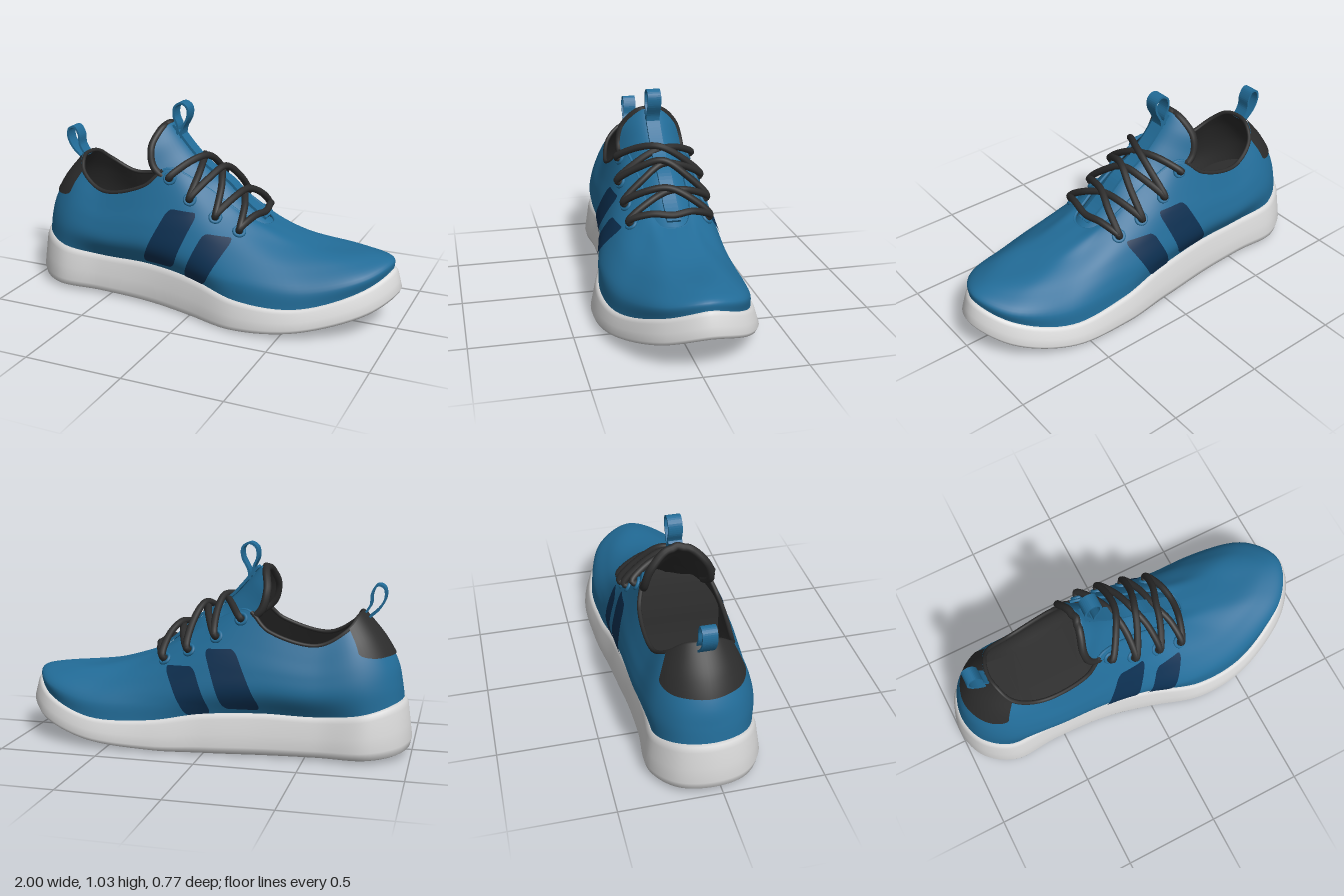
import * as THREE from 'three';
import { mergeVertices } from 'three/addons/utils/BufferGeometryUtils.js';

const V = (x, y, z) => new THREE.Vector3(x, y, z);
const mat = (name, color) => Object.assign(new THREE.MeshStandardMaterial({ color }), { name });
const clamp = THREE.MathUtils.clamp;
const MID = -0.04; // z of the tongue and lacing centre line
const N = 18; // stations around the shoe: 0 heel, 1-8 left side, 9 toe, mirrored back

// sole stations: x, half width, top y, bottom y
const SOLE = [
  [-1, 0, 0.285, 0.03], [-0.95, 0.17, 0.275, 0.02], [-0.8, 0.275, 0.24, 0.012], [-0.56, 0.268, 0.212, 0.008],
  [-0.28, 0.28, 0.215, 0.003], [0, 0.325, 0.2, 0], [0.27, 0.378, 0.155, 0.003], [0.6, 0.358, 0.15, 0.035],
  [0.89, 0.21, 0.235, 0.11], [1, 0, 0.3, 0.17],
];
// upper stations: four levels of x, y, half width, from above the sole to the collar or throat edge
const UPPER = [
  [-0.945, 0.36, 0, -0.925, 0.45, 0, -0.86, 0.57, 0, -0.75, 0.7, 0],
  [-0.905, 0.36, 0.14, -0.88, 0.45, 0.135, -0.82, 0.57, 0.115, -0.735, 0.69, 0.08],
  [-0.78, 0.34, 0.24, -0.76, 0.44, 0.225, -0.73, 0.55, 0.19, -0.69, 0.63, 0.155],
  [-0.55, 0.31, 0.275, -0.55, 0.4, 0.26, -0.55, 0.48, 0.23, -0.55, 0.555, 0.2],
  [-0.28, 0.32, 0.29, -0.28, 0.42, 0.275, -0.29, 0.52, 0.24, -0.31, 0.615, 0.205],
  [-0.02, 0.3, 0.305, -0.04, 0.42, 0.27, -0.09, 0.56, 0.215, -0.19, 0.71, 0.16],
  [0.24, 0.25, 0.325, 0.2, 0.37, 0.265, 0.11, 0.5, 0.19, 0, 0.63, 0.125],
  [0.58, 0.23, 0.305, 0.5, 0.32, 0.235, 0.36, 0.41, 0.15, 0.21, 0.505, 0.105],
  [0.86, 0.29, 0.19, 0.76, 0.345, 0.14, 0.55, 0.383, 0.09, 0.31, 0.455, 0.06],
  [0.955, 0.335, 0, 0.87, 0.36, 0, 0.62, 0.372, 0, 0.33, 0.45, 0],
];

// closed ring through ten stations mirrored in z
const ring = (pts) => new THREE.CatmullRomCurve3(
  [...pts, ...pts.slice(1, 9).reverse().map((p) => V(p.x, p.y, -p.z))], true);
const onRing = (r, s) => r.getPoint((((s / N) % 1) + 1) % 1);
// curved centre line of the foot
const bend = (p) => {
  p.z += -0.042 + 0.042 * Math.exp(-(((p.x - 0.3) / 0.35) ** 2)) * clamp((0.5 - p.y) / 0.25, 0, 1);
  return p;
};
const soleTop = ring(SOLE.map((r) => V(r[0], r[2], r[1])));
const soleBottom = ring(SOLE.map((r) => V(r[0], r[3], r[1])));

// point of the sole wall at station s, height share h, moved inwards by inset
function solePoint(s, h, inset) {
  const p = onRing(soleBottom, s).lerp(onRing(soleTop, s), h);
  const t = onRing(soleTop, s + 0.02).sub(onRing(soleTop, s - 0.02)).setY(0).normalize();
  return p.add(V(t.z * inset, 0, -t.x * inset));
}
const upperRings = [0, 1, 2, 3].map((k) => ring(UPPER.map((r) => V(r[3 * k], r[3 * k + 1], r[3 * k + 2]))));

// point of the upper: s = station, v = 0 at the sole to 1 at the edge
function upperPoint(s, v) {
  const base = solePoint(s, 0.96, 0.042);
  return bend(new THREE.CatmullRomCurve3([base, ...upperRings.map((r) => onRing(r, s))]).getPoint(clamp(v, 0, 1)));
}
function upperNormal(s, v) {
  const du = upperPoint(s + 0.03, v).sub(upperPoint(s - 0.03, v));
  const dv = upperPoint(s, Math.min(1, v + 0.02)).sub(upperPoint(s, Math.max(0, v - 0.02)));
  return du.cross(dv).normalize();
}
const upperOffset = (s, v, d) => upperPoint(s, v).addScaledVector(upperNormal(s, v), d);

// station and level of the upper seen at x, y from the side
function locate(x, y) {
  let s = 5.5, v = 0.5;
  for (let i = 0; i < 14; i++) {
    const p = upperPoint(s, v), a = upperPoint(s + 0.01, v).sub(p), b = upperPoint(s, v - 0.01).sub(p);
    const ex = x - p.x, ey = y - p.y, det = a.x * b.y - b.x * a.y || 1e-9;
    s = clamp(s + clamp((0.01 * (ex * b.y - b.x * ey)) / det, -0.6, 0.6), 3, 8.8);
    v = clamp(v - clamp((0.01 * (a.x * ey - ex * a.y)) / det, -0.15, 0.15), 0.02, 1);
  }
  return [s, v];
}

// smooth surface from a rule f(u, v)
function grid(name, material, nu, nv, f) {
  const pos = [], index = [];
  for (let j = 0; j <= nv; j++) for (let i = 0; i <= nu; i++) pos.push(...f(i / nu, j / nv).toArray());
  for (let j = 0; j < nv; j++) for (let i = 0; i < nu; i++) {
    const a = j * (nu + 1) + i, d = a + nu + 1;
    index.push(a, a + 1, d + 1, a, d + 1, d);
  }
  let g = new THREE.BufferGeometry();
  g.setAttribute('position', new THREE.Float32BufferAttribute(pos, 3));
  g.setIndex(index);
  g = mergeVertices(g, 1e-5);
  g.computeVertexNormals();
  return Object.assign(new THREE.Mesh(g, material), { name });
}
// plate with rounded corners; f takes a, b in -1..1
function patch(name, material, round, f, roundTop = true) {
  return grid(name, material, 20, 28, (u, v) => {
    const b = -Math.cos(v * Math.PI);
    const over = b > 0 && !roundTop ? 0 : Math.max(0, Math.abs(b) - 1 + round) / round;
    return f((2 * u - 1) * (1 - round + round * Math.sqrt(Math.max(0, 1 - over * over))), b);
  });
}
function tube(name, material, pts, radius, steps = 60) {
  const g = new THREE.TubeGeometry(new THREE.CatmullRomCurve3(pts), steps, radius, 10);
  return Object.assign(new THREE.Mesh(g, material), { name });
}
// flat band following a path in x, y
function band(name, material, path, width, thick) {
  const c = new THREE.SplineCurve(path.map((p) => new THREE.Vector2(...p)));
  const a = [], b = [];
  for (let i = 0; i <= 40; i++) {
    const p = c.getPoint(i / 40), t = c.getTangent(i / 40);
    a.push(new THREE.Vector2(p.x - t.y * thick / 2, p.y + t.x * thick / 2));
    b.unshift(new THREE.Vector2(p.x + t.y * thick / 2, p.y - t.x * thick / 2));
  }
  const g = new THREE.ExtrudeGeometry(new THREE.Shape([...a, ...b]), { depth: width, bevelEnabled: false });
  g.translate(0, 0, MID - width / 2);
  return Object.assign(new THREE.Mesh(g, material), { name });
}

export function createModel() {
  const shoe = new THREE.Group();
  shoe.name = 'shoe';
  const blue = mat('blue fabric', 0x226c98), dark = mat('charcoal', 0x2c2c2c);
  const navy = mat('navy', 0x0c2f50), white = mat('sole white', 0xdadada);

  // sole: underside, rounded wall, top lip
  const wall = [[0, 0.07], [0, 0.03], [0.05, 0.008], [0.2, 0], [0.5, 0.01], [0.85, 0.022], [0.96, 0.032], [1, 0.045], [0.95, 0.06]];
  shoe.add(grid('sole', white, 144, wall.length, (u, v) => {
    const k = Math.round(v * wall.length);
    const p = solePoint(u * N, ...wall[Math.max(0, k - 1)]);
    if (k === 0) p.z = 0;
    return bend(p);
  }));

  // upper, lining and insole
  shoe.add(grid('upper', blue, 144, 28, (u, v) => upperPoint(u * N, v)));
  shoe.add(grid('lining', dark, 108, 20, (u, v) => upperOffset(-u * N, v, -0.014)));
  shoe.add(grid('insole', dark, 72, 1, (u, v) => {
    const p = solePoint(u * N, 1, 0.05);
    return bend(V(p.x, p.y + 0.01, p.z * (1 - v)));
  }));
  const edge = (s0, s1) => Array.from({ length: 41 }, (_, i) => upperOffset(s0 + ((s1 - s0) * i) / 40, 1, -0.007));
  shoe.add(tube('collarRim', dark, edge(-4.8, 4.8), 0.011, 100));
  shoe.add(tube('throatRim', blue, edge(4.8, N - 4.8), 0.008, 100));

  // heel tab
  shoe.add(patch('heelTab', dark, 0.45, (a, b) => upperOffset(a * 1.95, 0.8 + 0.2 * b, 0.007), false));

  // slanted side panels: corners bottom back, bottom front, top front, top back
  const panels = [
    [[-0.29, 0.235], [-0.1, 0.235], [0.005, 0.515], [-0.15, 0.525]],
    [[-0.04, 0.205], [0.09, 0.19], [0.21, 0.42], [0.055, 0.43]],
  ];
  for (const side of [1, -1]) for (const q of panels) {
    shoe.add(patch('sidePanel', navy, 0.28, (a, b) => {
      const u = (1 + side * a) / 2, v = (1 + b) / 2;
      const at = (k) => THREE.MathUtils.lerp(
        THREE.MathUtils.lerp(q[0][k], q[1][k], u), THREE.MathUtils.lerp(q[3][k], q[2][k], u), v);
      const [s, lv] = locate(at(0), at(1));
      return upperOffset(side > 0 ? s : N - s, lv, 0.006);
    }));
  }

  // tongue: centre line with half width, and how far the sides fall back
  const line = new THREE.CatmullRomCurve3([
    V(0.36, 0.42, 0.07), V(0.2, 0.53, 0.12), V(0.08, 0.64, 0.135), V(-0.03, 0.7, 0.15),
    V(-0.12, 0.78, 0.165), V(-0.19, 0.86, 0.14), V(-0.23, 0.905, 0.07), V(-0.24, 0.912, 0.015)]);
  const fall = new THREE.SplineCurve(
    [0.03, 0.06, 0.1, 0.13, 0.15, 0.1, 0.03, 0.01].map((d, i) => new THREE.Vector2(i, d)));
  const tonguePoint = (a, v, back = 0) => {
    const p = line.getPoint(v), d = fall.getPoint(v).y * a * a + back;
    return V(p.x - 0.85 * d, p.y - 0.45 * d, MID + a * p.z);
  };
  shoe.add(grid('tongue', blue, 20, 40, (u, v) => tonguePoint(1 - 2 * u, v)));
  shoe.add(grid('tongueLining', dark, 20, 40, (u, v) => tonguePoint(2 * u - 1, v, 0.035)));
  const rim = Array.from({ length: 33 }, (_, i) => {
    const t = (i - 16) / 16;
    return tonguePoint(Math.sign(t), 1 - Math.abs(t) * 0.55, 0.017);
  });
  shoe.add(tube('tongueRim', dark, rim, 0.02, 80));

  // strap down the tongue and the two pull loops
  const strap = Array.from({ length: 12 }, (_, i) => {
    const p = line.getPoint(0.06 + 0.07 * i);
    return [p.x + 0.006, p.y + 0.006];
  });
  shoe.add(band('tongueStrap', blue, strap, 0.07, 0.014));
  shoe.add(band('tonguePullLoop', blue, [[-0.2, 0.85], [-0.195, 0.9], [-0.215, 0.95], [-0.21, 1.0], [-0.175, 1.022],
    [-0.14, 1.0], [-0.14, 0.95], [-0.17, 0.89], [-0.175, 0.84]], 0.07, 0.011));
  shoe.add(band('heelPullLoop', blue, [[-0.745, 0.68], [-0.78, 0.735], [-0.785, 0.79], [-0.81, 0.832], [-0.845, 0.82],
    [-0.85, 0.77], [-0.82, 0.715], [-0.77, 0.67]], 0.07, 0.011));

  // eyelets
  const holes = [[-0.17, 0.665], [-0.05, 0.575], [0.09, 0.5], [0.22, 0.445]].map(([x, y]) => locate(x, y));
  const eyelet = (i, side) => [side > 0 ? holes[i][0] : N - holes[i][0], holes[i][1]];
  for (const side of [1, -1]) holes.forEach((_, i) => {
    const e = eyelet(i, side);
    const m = new THREE.Mesh(new THREE.TorusGeometry(0.026, 0.009, 8, 24), blue);
    m.name = 'eyelet';
    m.position.copy(upperOffset(...e, 0.003));
    m.quaternion.setFromUnitVectors(V(0, 0, 1), upperNormal(...e));
    shoe.add(m);
  });

  // laces: a bar at the front, then crossings up the tongue
  function lace(i, j, side, top) {
    const a = eyelet(i, side), b = eyelet(j, -side);
    const A = upperOffset(...a, 0.028), B = upperOffset(...b, 0.028);
    const quarter = (P) => P.clone().lerp(top, 0.5).add(V(0.012, 0.025, 0));
    shoe.add(tube('lace', dark, [upperOffset(...a, -0.01), A, quarter(A), top, quarter(B), B, upperOffset(...b, -0.01)], 0.018));
  }
  lace(3, 3, 1, V(0.285, 0.5, MID));
  [[3, 2, 0.17, 0.585], [2, 1, 0.045, 0.69], [1, 0, -0.06, 0.735]].forEach(([i, j, x, y]) => {
    lace(i, j, 1, V(x, y, MID));
    lace(i, j, -1, V(x + 0.014, y + 0.022, MID));
  });
  return shoe;
}
